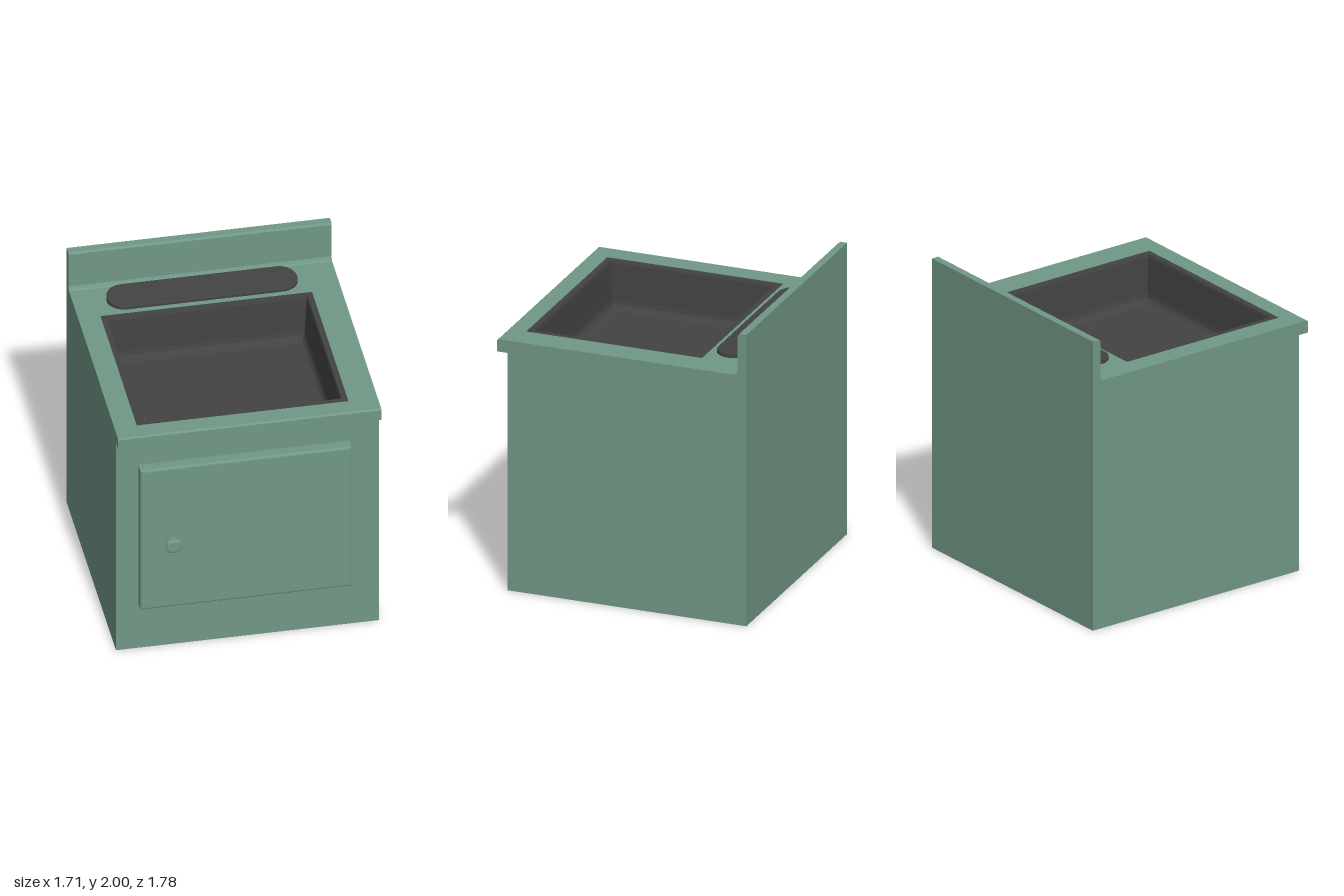
import * as THREE from 'three';

const green = new THREE.MeshStandardMaterial({ color: 0x719886 });
const dark = new THREE.MeshStandardMaterial({ color: 0x434343 });

const TOP = 1.715; // countertop height
const HALF_W = 0.855;
const BASIN = { x0: -0.71, x1: 0.665, z0: -0.51, z1: 0.70 };

function add(group, name, geometry, material) {
  const mesh = new THREE.Mesh(geometry, material);
  mesh.name = name;
  group.add(mesh);
  return mesh;
}

const polygon = (points) => points.map(([x, y]) => new THREE.Vector2(x, y));

// Rectangle with rounded corners (radius may be half the height for a pill shape)
function roundedRect(x0, y0, x1, y1, r) {
  const s = new THREE.Shape();
  s.absarc(x1 - r, y1 - r, r, 0, Math.PI / 2);
  s.absarc(x0 + r, y1 - r, r, Math.PI / 2, Math.PI);
  s.absarc(x0 + r, y0 + r, r, Math.PI, Math.PI * 1.5);
  s.absarc(x1 - r, y0 + r, r, Math.PI * 1.5, Math.PI * 2);
  return s;
}

// Cabinet, counter edge and splashback in one side profile, left open at the countertop
function cabinetGeometry() {
  const profile = new THREE.Shape(polygon([
    [-0.892, 0], [0.75, 0], [0.75, 1.63], [0.825, 1.63], [0.825, 1.705], [0.815, TOP],
    [-0.81, TOP], [-0.823, 1.721], [-0.832, 1.74],
    [-0.832, 1.988], [-0.842, 2], [-0.892, 2],
  ]));
  const geo = new THREE.ExtrudeGeometry(profile, { depth: HALF_W * 2, bevelEnabled: false });
  const p = geo.attributes.position;
  const kept = [];
  for (let i = 0; i < p.count; i += 3) {
    const onTop = [0, 1, 2].every((k) => Math.abs(p.getY(i + k) - TOP) < 1e-4);
    if (onTop) continue;
    for (let k = 0; k < 3; k++) kept.push(p.getX(i + k), p.getY(i + k), p.getZ(i + k));
  }
  const open = new THREE.BufferGeometry();
  open.setAttribute('position', new THREE.Float32BufferAttribute(kept, 3));
  open.computeVertexNormals();
  return open.rotateY(-Math.PI / 2).translate(HALF_W, 0, 0);
}

// Flat countertop with the basin opening
function countertopGeometry() {
  const { x0, x1, z0, z1 } = BASIN;
  const s = new THREE.Shape(polygon([
    [-HALF_W, -0.815], [HALF_W, -0.815], [HALF_W, 0.81], [-HALF_W, 0.81],
  ]));
  s.holes.push(new THREE.Path(polygon([[x0, -z0], [x1, -z0], [x1, -z1], [x0, -z1]])));
  return new THREE.ShapeGeometry(s).rotateX(-Math.PI / 2).translate(0, TOP, 0);
}

// Basin lofted through nested rectangles: [inset, height]
function basinGeometry() {
  const rings = [
    [0, TOP], [0.037, TOP], [0.042, 1.70], [0.058, 1.46],
    [0.064, 1.43], [0.08, 1.41], [0.11, 1.4],
  ].map(([d, y]) => [
    [BASIN.x0 + d, y, BASIN.z0 + d], [BASIN.x0 + d, y, BASIN.z1 - d],
    [BASIN.x1 - d, y, BASIN.z1 - d], [BASIN.x1 - d, y, BASIN.z0 + d],
  ]);
  const pos = [];
  const quad = (a, b, c, d) => pos.push(...a, ...b, ...c, ...a, ...c, ...d);
  for (let r = 0; r < rings.length - 1; r++) {
    for (let i = 0; i < 4; i++) {
      const j = (i + 1) % 4;
      quad(rings[r][i], rings[r][j], rings[r + 1][j], rings[r + 1][i]);
    }
  }
  quad(...rings[rings.length - 1]);
  const geo = new THREE.BufferGeometry();
  geo.setAttribute('position', new THREE.Float32BufferAttribute(pos, 3));
  geo.computeVertexNormals();
  return geo;
}

// Pill-shaped panel whose top rises toward the back
function rearPanelGeometry() {
  const shape = roundedRect(-0.64, 0.548, 0.598, 0.776, 0.113);
  const geo = new THREE.ExtrudeGeometry(shape, {
    depth: 0.025, curveSegments: 10,
    bevelThickness: 0.006, bevelSize: 0.006, bevelOffset: -0.006, bevelSegments: 2,
  });
  geo.rotateX(-Math.PI / 2).translate(0, 1.706, 0);
  const p = geo.attributes.position;
  for (let i = 0; i < p.count; i++) {
    if (p.getY(i) > 1.72) p.setY(i, p.getY(i) + (-0.548 - p.getZ(i)) * 0.08);
  }
  geo.computeVertexNormals();
  return geo;
}

export function createModel() {
  const model = new THREE.Group();
  model.name = 'sinkCabinet';

  add(model, 'cabinet', cabinetGeometry(), green);
  add(model, 'countertop', countertopGeometry(), green);
  add(model, 'basin', basinGeometry(), dark);
  add(model, 'rearPanel', rearPanelGeometry(), dark);

  // Door with softened front edges, its back sunk into the cabinet
  const doorShape = new THREE.Shape(polygon([
    [-0.71, 0.347], [0.662, 0.347], [0.662, 1.44], [-0.71, 1.44],
  ]));
  const door = new THREE.ExtrudeGeometry(doorShape, {
    depth: 0.085, bevelThickness: 0.015, bevelSize: 0.015, bevelOffset: -0.015, bevelSegments: 3,
  });
  add(model, 'door', door.translate(0, 0, 0.725), green);

  // Knob: round stem and a rounded-square head
  const knob = new THREE.Group();
  knob.name = 'doorKnob';
  knob.position.set(-0.502, 0.862, 0.82);
  const stem = new THREE.CylinderGeometry(0.033, 0.033, 0.05, 16);
  add(knob, 'knobStem', stem.rotateX(Math.PI / 2).translate(0, 0, 0.02), green);
  const head = new THREE.ExtrudeGeometry(roundedRect(-0.052, -0.046, 0.052, 0.046, 0.035), {
    depth: 0.014, curveSegments: 5,
    bevelThickness: 0.012, bevelSize: 0.014, bevelOffset: -0.014, bevelSegments: 3,
  });
  add(knob, 'knobHead', head.translate(0, 0, 0.046), green);
  model.add(knob);

  return model;
}
